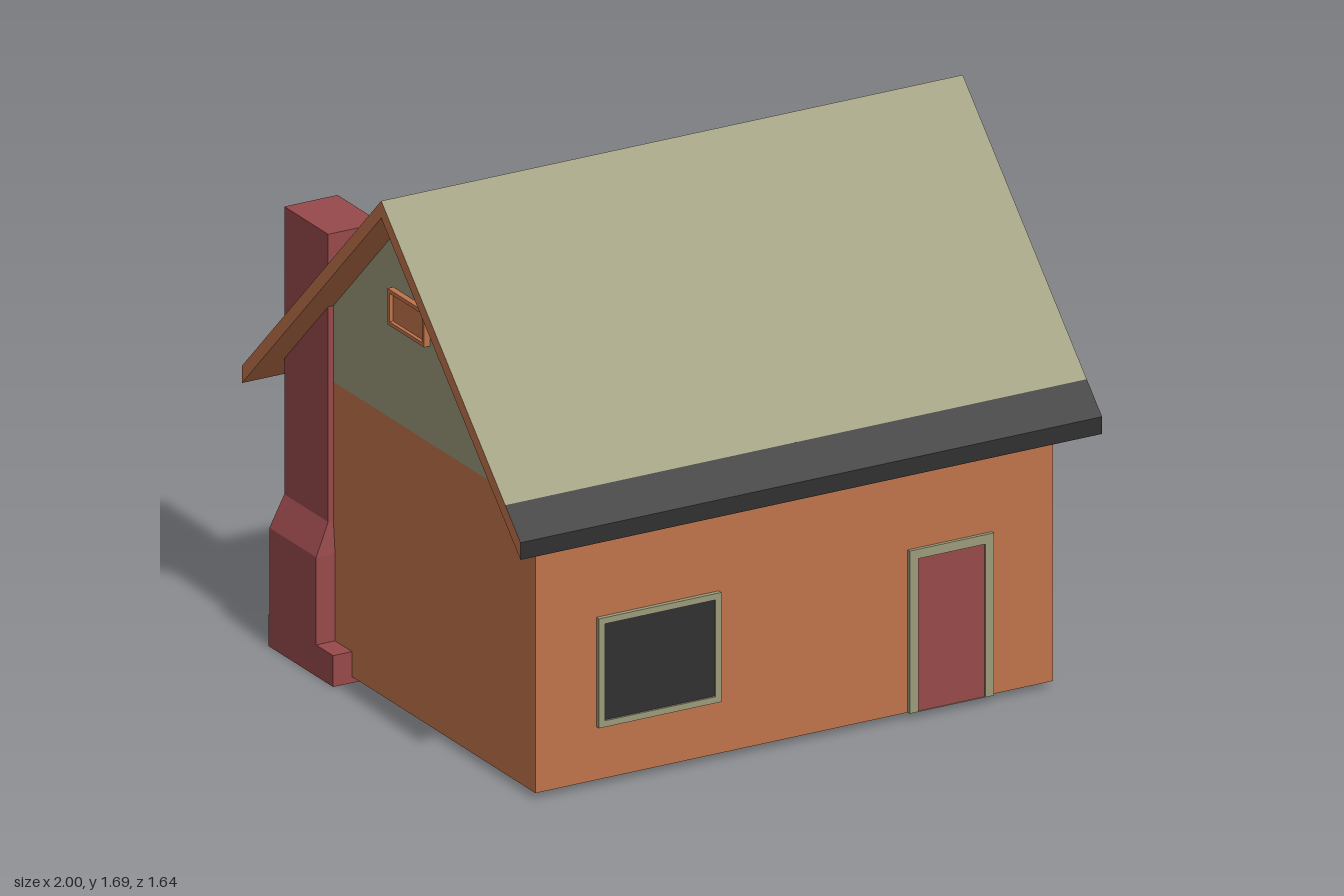
import * as THREE from 'three';

const mat = (name, color) => {
  const m = new THREE.MeshStandardMaterial({ color });
  m.name = name;
  return m;
};

export function createModel() {
  const house = new THREE.Group();
  house.name = 'house';
  const orange = mat('orange', 0xc1744b);
  const olive = mat('olive', 0x9c9b7b);
  const dark = mat('charcoal', 0x303030);
  const red = mat('brickRed', 0x98494b);

  const add = (name, geo, material, parent = house) => {
    const m = new THREE.Mesh(geo, material);
    m.name = name;
    parent.add(m);
    return m;
  };
  // Box given by its limits on each axis
  const box = (x0, x1, y0, y1, z0, z1) =>
    new THREE.BoxGeometry(x1 - x0, y1 - y0, z1 - z0)
      .translate((x0 + x1) / 2, (y0 + y1) / 2, (z0 + z1) / 2);

  // Walls
  add('walls', box(-0.89, 0.89, 0.02, 0.925, -0.72, 0.72), orange);

  // Gables: points are [z, y], extruded along x
  const roofY = z => 1.635 - 0.988 * Math.abs(z);
  const gable = (name, points, x, material) => {
    const shape = new THREE.Shape(points.map(([z, y]) => new THREE.Vector2(-z, y)));
    const geo = new THREE.ExtrudeGeometry(shape, { depth: 0.04, bevelEnabled: false });
    add(name, geo.rotateY(Math.PI / 2).translate(x, 0, 0), material);
  };
  const split = -0.33;
  gable('leftGable', [[0.718, 0.925], [split, 0.925], [split, roofY(split)], [0, 1.635]], 0.85, dark);
  gable('leftGablePatch', [[split, 0.925], [-0.718, 0.925], [split, roofY(split)]], 0.85, olive);
  gable('rightGable', [[0.718, 0.925], [-0.718, 0.925], [0, 1.635]], -0.89, olive);

  // Roof slabs: boxes sheared so that they follow the slope
  const slab = (name, x0, x1, z0, z1, top, bottom, front, back) => {
    const geo = box(x0, x1, -0.0275, 0.0275, z0, z1);
    const p = geo.attributes.position;
    for (let i = 0; i < p.count; i++) {
      p.setY(i, p.getY(i) + 1.66 - 0.988 * Math.abs(p.getZ(i)));
    }
    geo.computeVertexNormals();
    add(name, geo, [orange, orange, top, bottom, front, back]);
  };
  slab('frontRoof', -1, 1, 0, 0.73, olive, dark, dark, dark);
  slab('frontEave', -1, 1, 0.73, 0.82, dark, olive, dark, dark);
  slab('backRoof', -1, 1, -0.73, 0, olive, orange, orange, orange);
  slab('backEave', -1, 0.55, -0.82, -0.73, orange, orange, orange, orange);
  slab('backEavePatch', 0.55, 1, -0.82, -0.73, dark, dark, dark, dark);

  // Framed panel facing +z; an open bottom suits a door
  const framed = (name, w, h, trim, depth, frameMat, paneMat, open = false) => {
    const g = new THREE.Group();
    g.name = name;
    const rect = (C, a, b, c, d) => {
      const s = new C();
      s.moveTo(a, c).lineTo(b, c).lineTo(b, d).lineTo(a, d).closePath();
      return s;
    };
    const shape = rect(THREE.Shape, -w / 2, w / 2, -h / 2, h / 2);
    const low = open ? -h / 2 + 0.001 : -h / 2 + trim;
    shape.holes.push(rect(THREE.Path, -w / 2 + trim, w / 2 - trim, low, h / 2 - trim));
    add(name + 'Frame', new THREE.ExtrudeGeometry(shape, { depth, bevelEnabled: false }), frameMat, g);
    const pane = new THREE.BoxGeometry(w - 2 * trim, h / 2 - trim - low, 0.008);
    pane.translate(0, (h / 2 - trim + low) / 2, 0.004);
    add(name + 'Panel', pane, paneMat, g);
    house.add(g);
    return g;
  };
  framed('frontWindow', 0.42, 0.35, 0.02, 0.015, olive, dark).position.set(-0.47, 0.365, 0.72);
  const sideWindow = framed('leftWindow', 0.43, 0.335, 0.02, 0.012, olive, dark);
  sideWindow.position.set(0.89, 0.367, 0);
  sideWindow.rotation.y = Math.PI / 2;
  const backWindow = framed('backWindow', 0.42, 0.35, 0.02, 0.015, olive, dark);
  backWindow.position.set(0.455, 0.365, -0.72);
  backWindow.rotation.y = Math.PI;
  framed('door', 0.29, 0.52, 0.03, 0.012, olive, red, true).position.set(0.535, 0.28, 0.72);

  // Gable vents
  for (const s of [1, -1]) {
    const vent = framed(s > 0 ? 'leftVent' : 'rightVent', 0.215, 0.115, 0.012, 0.02, orange, orange);
    vent.position.set(s * 0.89, 1.292, -0.01);
    vent.rotation.y = s * Math.PI / 2;
  }

  // Chimney: plinth, wide firebox, tapered shoulder and shaft
  const chimney = new THREE.Group();
  chimney.name = 'chimney';
  house.add(chimney);
  add('chimneyPlinth', box(-0.955, -0.54, 0, 0.1, -0.74, -0.36), red, chimney);
  add('chimneyBase', box(-0.955, -0.56, 0.1, 0.38, -0.735, -0.46), red, chimney);
  const shoulder = box(-0.955, -0.56, 0.38, 0.48, -0.735, -0.46);
  const p = shoulder.attributes.position;
  for (let i = 0; i < p.count; i++) {
    if (p.getY(i) > 0.43) {
      p.setX(i, p.getX(i) < -0.75 ? -0.908 : -0.725);
      p.setZ(i, p.getZ(i) < -0.6 ? -0.728 : -0.47);
    }
  }
  shoulder.computeVertexNormals();
  add('chimneyShoulder', shoulder, red, chimney);
  add('chimneyShaft', box(-0.908, -0.725, 0.48, 1.4, -0.728, -0.47), red, chimney);

  return house;
}
